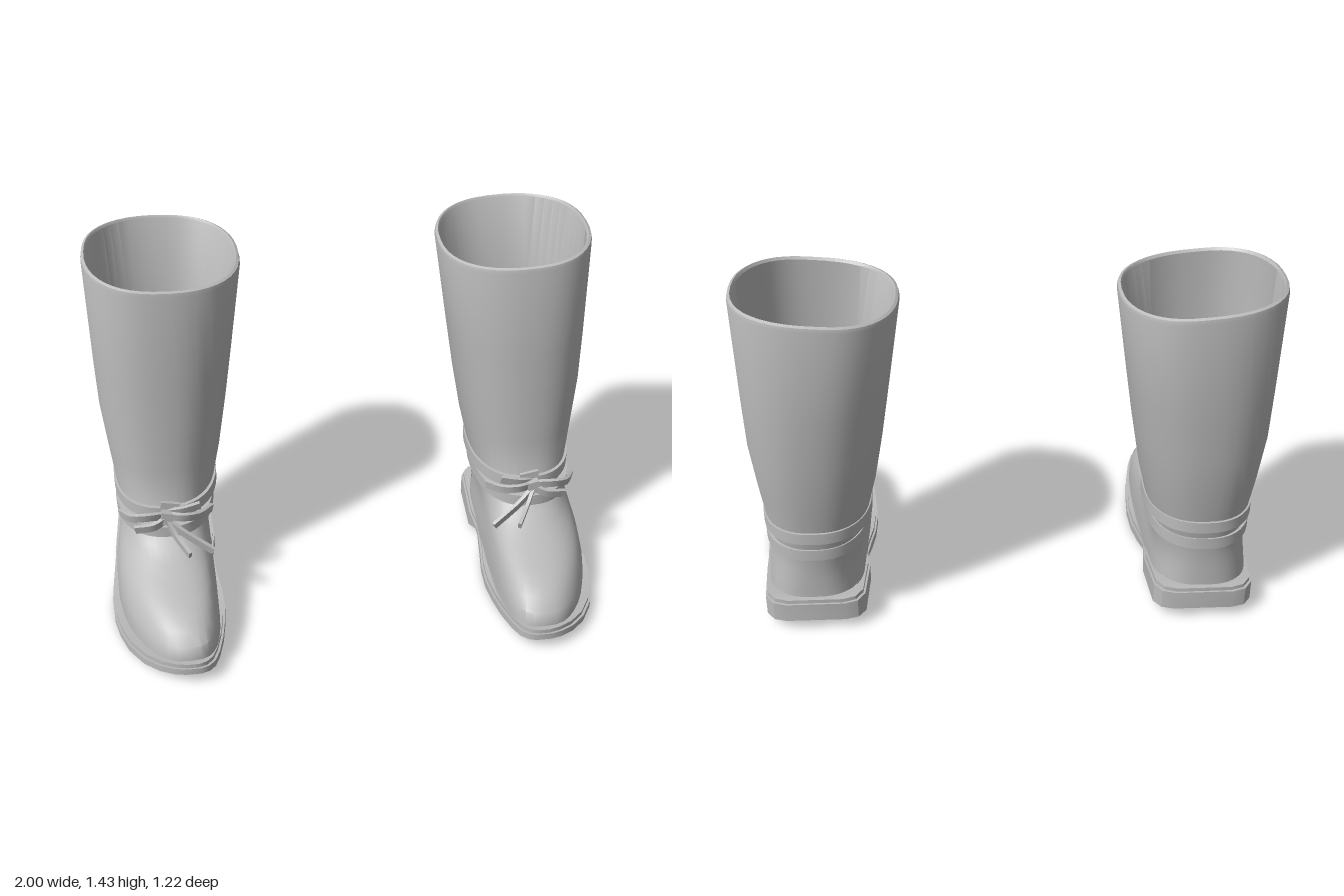
import * as THREE from 'three';
import { toCreasedNormals } from 'three/addons/utils/BufferGeometryUtils.js';

const V = (x, y, z) => new THREE.Vector3(x, y, z);

// Skin closed loops of points; side = -1 mirrors in x and keeps faces outward
function loft(rows, side, crease) {
  const n = rows[0].length, pos = [], idx = [];
  rows.forEach(r => r.forEach(p => pos.push(p.x * side, p.y, p.z)));
  const tri = (a, b, c) => (side > 0 ? idx.push(a, b, c) : idx.push(a, c, b));
  for (let r = 0; r < rows.length - 1; r++) {
    for (let i = 0; i < n; i++) {
      const a = r * n + i, b = r * n + (i + 1) % n;
      tri(a, a + n, b);
      tri(b, a + n, b + n);
    }
  }
  const g = new THREE.BufferGeometry();
  g.setAttribute('position', new THREE.Float32BufferAttribute(pos, 3));
  g.setIndex(idx);
  return toCreasedNormals(g, crease);
}

// Collapsed loop that closes an end
function cap(row) {
  const c = V(0, 0, 0);
  row.forEach(p => c.add(p));
  c.divideScalar(row.length);
  return row.map(() => c.clone());
}

// Horizontal outline: y, x range, back z, front z; squarer towards the sole
function outline([y, x0, x1, zb, zf], yOf) {
  const pts = [], N = 44, zc = Math.min((zb + zf) / 2, -0.22);
  const e = Math.max(2.35, 2.9 - 2.2 * (y - 0.05));
  const foot = THREE.MathUtils.clamp((zf - 0.04) / 0.5, 0, 1);
  const high = THREE.MathUtils.smoothstep(y, 0.8, 1.38);
  const pw = v => Math.sign(v) * Math.pow(Math.abs(v), 2 / e);
  for (let i = 0; i < N; i++) {
    const a = i / N * Math.PI * 2, nx = pw(Math.cos(a)), nz = pw(Math.sin(a));
    const u = Math.max(0, nz);
    let x = (x0 + x1) / 2 + nx * (x1 - x0) / 2;
    x += foot * ((nx > 0 ? 0.03 * nx * Math.sin(Math.PI * u) : 0) - 0.07 * u * u);
    x += high * 0.035 * nz * (1 - Math.abs(nx));
    const z = zc + nz * (nz > 0 ? zf - zc : zc - zb);
    pts.push(V(x, yOf ? yOf(nz) : y + high * (0.022 * nx - 0.014 * nz), z));
  }
  return pts;
}

const inset = ([, x0, x1, zb, zf], y, d) => [y, x0 + d, x1 - d, zb + d, zf - d];

// Foot and shaft from sole to top
const OUTER = [
  [0.05, 0.58, 0.96, -0.465, 0.57],
  [0.10, 0.58, 0.96, -0.465, 0.572],
  [0.14, 0.58, 0.957, -0.465, 0.555],
  [0.18, 0.583, 0.953, -0.465, 0.505],
  [0.205, 0.584, 0.95, -0.466, 0.455],
  [0.225, 0.584, 0.947, -0.466, 0.395],
  [0.25, 0.583, 0.945, -0.467, 0.30],
  [0.275, 0.58, 0.942, -0.468, 0.21],
  [0.31, 0.574, 0.94, -0.471, 0.13],
  [0.36, 0.565, 0.94, -0.476, 0.065],
  [0.40, 0.556, 0.942, -0.485, 0.037],
  [0.60, 0.51, 0.965, -0.53, 0.03],
  [0.80, 0.475, 0.985, -0.56, 0.025],
  [1.00, 0.445, 0.99, -0.577, 0.02],
  [1.385, 0.39, 0.995, -0.61, 0.01],
];

// Lining from below the calf to the insole
const LINING = [
  [0.42, 0.575, 0.92, -0.475, -0.01],
  [0.30, 0.59, 0.90, -0.46, -0.06],
  [0.14, 0.59, 0.89, -0.455, -0.10],
];

function upperGeometry(side) {
  const top = OUTER[OUTER.length - 1], knee = OUTER[13], calf = OUTER[11];
  const rows = [
    ...OUTER,
    inset(top, 1.40, 0.003), inset(top, 1.405, 0.013), inset(top, 1.395, 0.02),
    inset(knee, 1.0, 0.022), inset(calf, 0.6, 0.022),
    ...LINING,
  ].map(r => outline(r));
  return loft([...rows, cap(rows[rows.length - 1])], side, 0.6);
}

// Sole stations along z: z, inner x, outer x, bottom y, top y
const SOLE = [
  [-0.492, 0.65, 0.88, 0.05, 0.145],
  [-0.475, 0.60, 0.93, 0.047, 0.145],
  [-0.43, 0.572, 0.962, 0.042, 0.143],
  [-0.21, 0.562, 0.98, 0.02, 0.104],
  [-0.125, 0.572, 0.984, 0.058, 0.09],
  [-0.10, 0.575, 0.986, 0.047, 0.085],
  [0.00, 0.565, 0.995, 0.012, 0.062],
  [0.10, 0.55, 1.0, 0.003, 0.05],
  [0.20, 0.546, 0.993, 0.0, 0.046],
  [0.30, 0.553, 0.972, 0.007, 0.052],
  [0.40, 0.565, 0.938, 0.018, 0.065],
  [0.50, 0.585, 0.88, 0.033, 0.078],
  [0.56, 0.605, 0.82, 0.043, 0.087],
  [0.592, 0.63, 0.765, 0.049, 0.093],
  [0.605, 0.66, 0.72, 0.052, 0.095],
];

// Slab between the heights given by low(bottom, top) and high(top)
function slabGeometry(side, d, low, high) {
  const rows = SOLE.map(([z, x0, x1, yb, yt]) => {
    const zz = 0.055 + (z - 0.055) * (1 - d / 0.55);
    const l = x0 + d, r = x1 - d, t = high(yt), b = low(yb, yt);
    return [V(l, t, zz), V(r, t, zz), V(r, b, zz), V(l, b, zz)];
  });
  return loft([cap(rows[0]), ...rows, cap(rows[rows.length - 1])], side, 0.5);
}

// Flat strap wrapped round the ankle, rising towards the back by tilt
function bandGeometry(side, band, tilt) {
  const ring = (d, h) => outline(inset(band, band[0], d), nz => band[0] + h - tilt * nz);
  const w = 0.024, t = 0.03;
  return loft([ring(t, -w), ring(0, -w), ring(0, w), ring(t, w)], side, 0.5);
}

// Thin lace following a curve
function laceGeometry(side, pts, width) {
  const curve = new THREE.CatmullRomCurve3(pts.map(p => V(...p)));
  const rows = [];
  for (let i = 0; i <= 8; i++) {
    const p = curve.getPoint(i / 8), t = curve.getTangent(i / 8);
    const n = t.clone().cross(V(0, 1, 0.25)).normalize();
    const w = n.clone().cross(t).normalize();
    rows.push([[-1, 1], [1, 1], [1, -1], [-1, -1]].map(([a, b]) =>
      p.clone().addScaledVector(w, a * width / 2).addScaledVector(n, b * 0.007)));
  }
  return loft([cap(rows[0]), ...rows, cap(rows[8])], side, 0.5);
}

const LACES = {
  innerLoop: [[0.75, 0.425, 0.075], [0.69, 0.435, 0.11], [0.62, 0.42, 0.085], [0.57, 0.405, 0.02]],
  outerLoop: [[0.75, 0.425, 0.075], [0.83, 0.44, 0.1], [0.89, 0.425, 0.075], [0.935, 0.40, 0.0]],
  innerFlap: [[0.75, 0.435, 0.07], [0.69, 0.45, 0.085], [0.615, 0.462, 0.075]],
  outerFlap: [[0.74, 0.425, 0.08], [0.80, 0.40, 0.11], [0.88, 0.385, 0.10]],
  longTail: [[0.75, 0.41, 0.085], [0.69, 0.365, 0.12], [0.575, 0.295, 0.165]],
  shortTail: [[0.75, 0.405, 0.09], [0.72, 0.355, 0.13], [0.67, 0.318, 0.21]],
};

function createBoot(side, material) {
  const boot = new THREE.Group();
  const add = (name, geometry) => {
    const m = new THREE.Mesh(geometry, material);
    m.name = name;
    boot.add(m);
    return m;
  };
  add('upper', upperGeometry(side));
  add('sole', slabGeometry(side, 0, b => b, t => t - 0.016));
  add('welt', slabGeometry(side, 0.008, (b, t) => t - 0.02, t => t));
  add('upperStrap', bandGeometry(side, [0.44, 0.535, 0.957, -0.513, 0.052], 0.02));
  add('lowerStrap', bandGeometry(side, [0.362, 0.553, 0.955, -0.488, 0.1], 0.003));

  // Bow at the front of the ankle
  for (const [name, pts] of Object.entries(LACES)) add(name, laceGeometry(side, pts, 0.036));
  const knot = add('knot', new THREE.BoxGeometry(0.05, 0.055, 0.04));
  knot.position.set(0.75 * side, 0.425, 0.085);
  knot.rotation.z = 0.25 * side;
  const tip = add('bowTip', new THREE.BoxGeometry(0.075, 0.036, 0.014));
  tip.position.set(0.735 * side, 0.465, 0.07);
  tip.rotation.z = 0.2 * side;
  return boot;
}

export function createModel() {
  const leather = new THREE.MeshStandardMaterial({ color: 0xbbbbbb });
  leather.name = 'grey leather';
  const model = new THREE.Group();
  model.name = 'boots';
  for (const [name, side] of [['leftBoot', 1], ['rightBoot', -1]]) {
    const boot = createBoot(side, leather);
    boot.name = name;
    model.add(boot);
  }
  return model;
}
